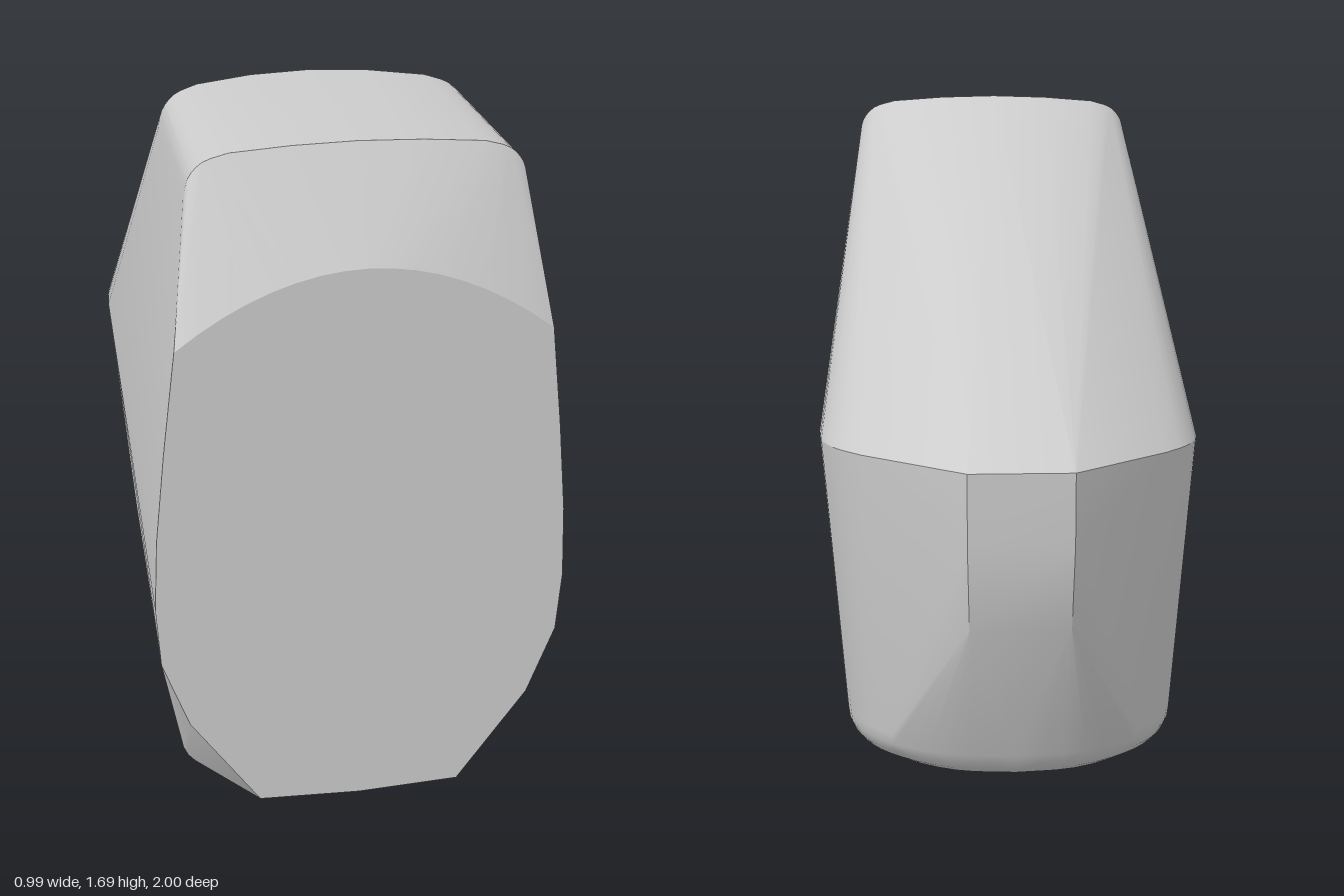
import * as THREE from 'three';
import { ConvexGeometry } from 'three/addons/geometries/ConvexGeometry.js';
import { toCreasedNormals } from 'three/addons/utils/BufferGeometryUtils.js';

// smooth curve through a few points
function curve(points, count) {
  return new THREE.CatmullRomCurve3(points.map(p => new THREE.Vector3(...p))).getPoints(count);
}

export function createModel() {
  const group = new THREE.Group();
  const points = [];
  const add = (x, y, z) => {
    points.push(new THREE.Vector3(x, y, z));
    if (x > 0) points.push(new THREE.Vector3(-x, y, z));
  };

  // flat front face: arched top, straight-sided lower corners
  for (let i = 0; i <= 8; i++) {
    const x = 0.435 * i / 8;
    add(x, 1.42 - 0.17 * (x / 0.435) ** 2, 1);
  }
  [[0.465, 1], [0.487, 0.78], [0.495, 0.6], [0.485, 0.45], [0.42, 0.275], [0.25, 0.035], [0, 0.025]]
    .forEach(([x, y]) => add(x, y, 1));

  // crown: rounded cross-section at its front edge and at its bowed rear ridge
  const crown = curve([[0.393, 1.575, 0], [0.382, 1.62, 0], [0.35, 1.655, 0], [0.29, 1.674, 0]], 9);
  crown.push(new THREE.Vector3(0.15, 1.684, 0), new THREE.Vector3(0, 1.688, 0));
  for (const p of crown) {
    add(p.x, p.y - 0.012, 0.875);
    add(p.x, p.y, 0.26 + 0.08 * (p.x / 0.39) ** 2);
  }

  // rear shoulder where the sloping back meets the upright tail
  curve([[0.488, 0.82, -0.42], [0.475, 0.82, -0.56], [0.435, 0.82, -0.67], [0.37, 0.82, -0.76]], 10)
    .forEach(p => add(p.x, p.y, p.z));

  // narrow tail panel
  add(0.125, 0.82, -1);
  add(0.125, 0.65, -0.997);
  add(0.12, 0.44, -0.977);

  // underside: footprint inset along a rounded bottom edge
  const footprint = curve([[0.425, 0, -0.46], [0.412, 0, -0.58], [0.37, 0, -0.68],
    [0.29, 0, -0.77], [0.16, 0, -0.84], [0, 0, -0.86]], 14);
  footprint.unshift(new THREE.Vector3(0.425, 0, 0.83));
  for (let j = 0; j <= 6; j++) {
    const a = j / 6 * Math.PI / 2;
    const inset = 0.11 * (1 - Math.cos(a));
    for (const p of footprint) {
      const s = 1 - inset / 0.425;
      const z = p.z < 0 ? p.z + inset * Math.min(1, Math.max(0, (-p.z - 0.46) / 0.3)) : p.z;
      add(p.x < 0.001 ? 0 : p.x * s, 0.115 - 0.1 * Math.sin(a), z);
    }
  }
  // slight belly
  add(0.15, 0.003, 0);
  add(0, 0, 0);

  const body = new THREE.Mesh(
    toCreasedNormals(new ConvexGeometry(points), 0.36),
    new THREE.MeshStandardMaterial({ color: 0xcccccc })
  );
  body.name = 'body';
  group.add(body);
  return group;
}
